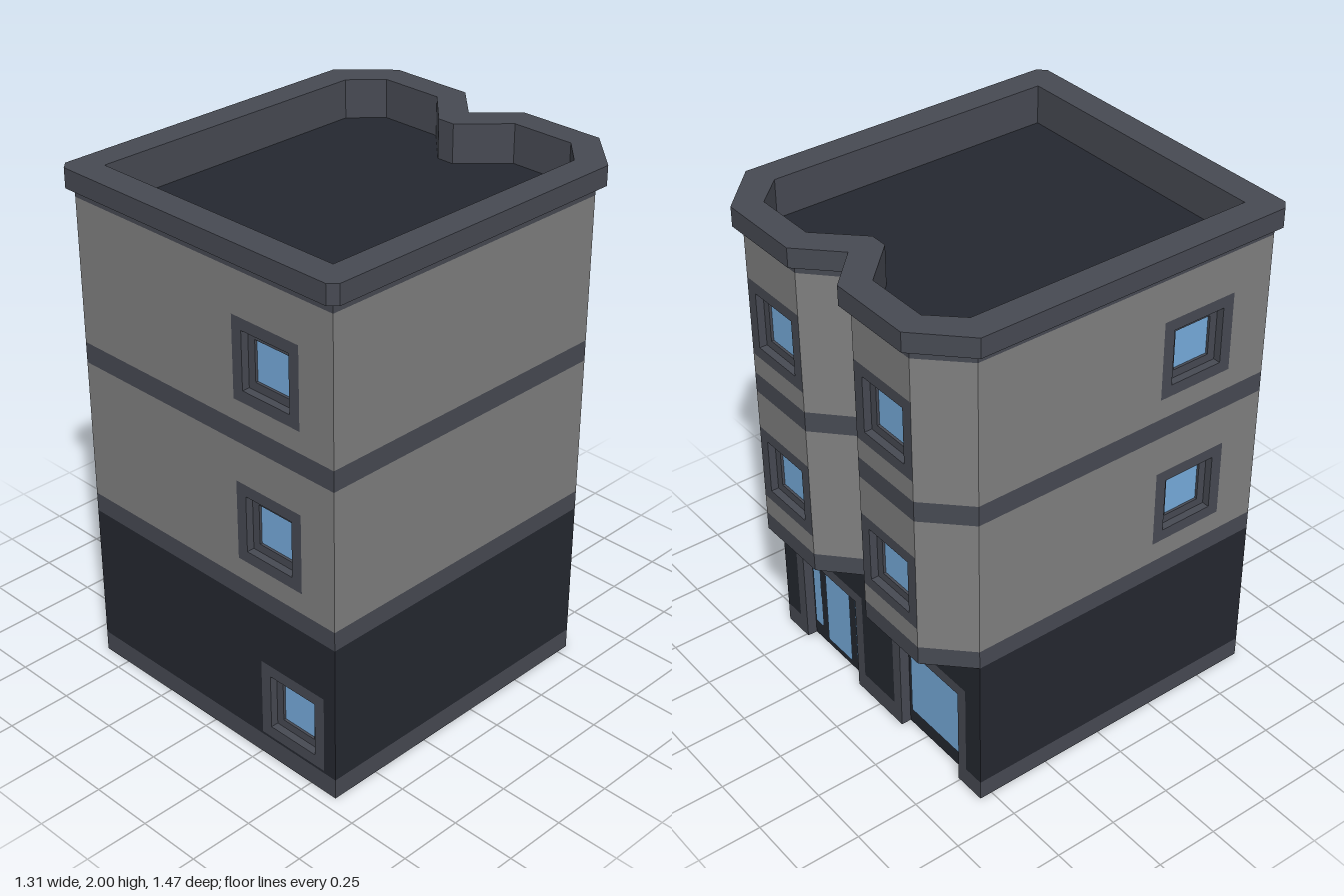
import * as THREE from 'three';
import { mergeGeometries } from 'three/addons/utils/BufferGeometryUtils.js';

const mat = (color) => new THREE.MeshStandardMaterial({ color });
const WALL = mat(0x808080), TRIM = mat(0x474a53), DARK = mat(0x252830), GLASS = mat(0x77acdd);

function mesh(name, geometry, material, parent) {
  const m = new THREE.Mesh(geometry, material);
  m.name = name;
  parent.add(m);
  return m;
}

const rect = (x0, y0, x1, y1, z = 0) =>
  new THREE.PlaneGeometry(x1 - x0, y1 - y0).translate((x0 + x1) / 2, (y0 + y1) / 2, z);

const toShape = (pts) => new THREE.Shape(pts.map(([x, y]) => new THREE.Vector2(x, y)));
const flipZ = (pts) => pts.map(([x, z]) => [x, -z]);

// Group whose x axis runs along a wall from p to q, with z pointing outward
function face(name, p, q, parent) {
  const g = new THREE.Group();
  g.name = name;
  g.position.set(p[0], 0, p[1]);
  g.rotation.y = Math.atan2(p[1] - q[1], q[0] - p[0]);
  g.userData.width = Math.hypot(q[0] - p[0], q[1] - p[1]);
  parent.add(g);
  return g;
}

// Flat strip of wall, pieced around its openings [x0, y0, x1, y1]
function strip(name, g, y0, y1, material, openings = []) {
  const parts = [];
  let x = 0;
  for (const [a, b, c, d] of openings) {
    if (d <= y0 || b >= y1) continue;
    if (a > x + 1e-4) parts.push(rect(x, y0, a, y1));
    if (b > y0) parts.push(rect(a, y0, c, b));
    if (d < y1) parts.push(rect(a, d, c, y1));
    x = c;
  }
  if (x < g.userData.width - 1e-4) parts.push(rect(x, y0, g.userData.width, y1));
  mesh(name, mergeGeometries(parts), material, g);
}

// Square frame ring whose front lies at z
function ring(name, outer, inner, depth, z, parent) {
  const square = (r) => [[-r, -r], [r, -r], [r, r], [-r, r]];
  const s = toShape(square(outer));
  s.holes.push(toShape(square(inner)));
  const geo = new THREE.ExtrudeGeometry(s, { depth, bevelEnabled: false });
  mesh(name, geo.translate(0, 0, z - depth), TRIM, parent);
}

const R = 0.155; // half size of a window frame
function addWindow(g, u, v) {
  const w = new THREE.Group();
  w.name = 'window';
  w.position.set(u, v, 0);
  ring('windowFrame', R, 0.11, 0.045, 0, w);
  ring('windowSash', 0.11, 0.078, 0.015, -0.03, w);
  mesh('windowGlass', rect(-0.078, -0.078, 0.078, 0.078, -0.04), GLASS, w);
  g.add(w);
}

const SW = 0.22, SH = 0.46, SD = 0.04; // shopfront half width, height, recess
function addShopfront(name, g, u, panes) {
  const s = new THREE.Group();
  s.name = name;
  s.position.x = u;
  const a = SW - 0.045, t = SH - 0.045;
  const arch = toShape([[-SW, 0], [-a, 0], [-a, t], [a, t], [a, 0], [SW, 0], [SW, SH], [-SW, SH]]);
  const geo = new THREE.ExtrudeGeometry(arch, { depth: SD, bevelEnabled: false });
  mesh('shopfrontFrame', geo.translate(0, 0, -SD), TRIM, s);
  mesh('shopfrontPanel', rect(-a, 0, a, t, -SD), DARK, s);
  for (const [x0, y0, x1, y1] of panes) mesh('shopfrontGlass', rect(x0, y0, x1, y1, 0.004 - SD), GLASS, s);
  g.add(s);
}

// Horizontal surface facing up or down
function cap(name, pts, y, up, material, parent) {
  const geo = new THREE.ShapeGeometry(toShape(up ? flipZ(pts) : pts));
  mesh(name, geo.rotateX(up ? -Math.PI / 2 : Math.PI / 2).translate(0, y, 0), material, parent);
}

// Mirror the points of the +x half into a closed outline, starting at front left
const mirrored = (half, middle = []) =>
  [...half, ...middle, ...half.slice().reverse().map(([x, z]) => [-x, z])];

export function createModel() {
  const model = new THREE.Group();
  model.name = 'cornerBuilding';

  const upper = mirrored([[0.62, 0.7], [0.62, -0.55], [0.47, -0.7], [0.16, -0.7]], [[0, -0.55]]);
  const lower = mirrored([[0.62, 0.7], [0.62, -0.55]]);
  const edges = (pts) => pts.map((p, i) => [p, pts[(i + 1) % pts.length]]);
  const UP = [0.94, 1.565];
  const hole = ([u, v]) => [u - R, v - R, u + R, v + R];

  // Upper storeys: front is edge 8, bay fronts are 2 and 5, the windowed side is 7
  const windowAt = { 2: 0.155, 5: 0.155, 7: 0.93, 8: 0.93 };
  edges(upper).forEach(([p, q], i) => {
    const g = face('upperWall', p, q, model);
    const wins = i in windowAt ? UP.map((v) => [windowAt[i], v]) : [];
    const holes = wins.map(hole);
    strip('lowerBand', g, 0.63, 0.705, TRIM);
    strip('wall', g, 0.705, 1.25, WALL, holes);
    strip('middleBand', g, 1.25, 1.33, TRIM);
    strip('wall', g, 1.33, 1.885, WALL, holes);
    strip('topBand', g, 1.885, 1.925, TRIM);
    wins.forEach(([u, v]) => addWindow(g, u, v));
  });

  // Ground floor: right side, back with shopfronts, left side, front with one window
  const shops = [0.305, 0.935];
  edges(lower).forEach(([p, q], i) => {
    const g = face('groundWall', p, q, model);
    let holes = [];
    if (i === 1) holes = shops.map((u) => [u - SW, 0, u + SW, SH]);
    if (i === 3) {
      holes = [hole([1.03, 0.245])];
      addWindow(g, 1.03, 0.245);
    }
    strip('baseBand', g, 0, 0.08, TRIM, holes);
    strip('groundWallSurface', g, 0.08, 0.63, DARK, holes);
    if (i === 1) {
      addShopfront('entrance', g, shops[0],
        [[-0.165, 0.07, -0.115, 0.385], [-0.08, 0.03, 0.08, 0.385], [0.115, 0.07, 0.165, 0.385]]);
      addShopfront('shopWindow', g, shops[1], [[-0.157, 0.07, 0.157, 0.38]]);
    }
  });

  // Underside, notched behind the shopfronts
  const notches = shops.map((u) => 0.62 - u).flatMap((x) =>
    [[x + SW, -0.55], [x + SW, -0.55 + SD], [x - SW, -0.55 + SD], [x - SW, -0.55]]);
  cap('underside', [[0.62, 0.7], [0.62, -0.55], ...notches, [-0.62, -0.55], [-0.62, 0.7]], 0, false, TRIM, model);

  // Bay undersides
  for (const s of [1, -1]) {
    cap('bayUnderside', [[0.62, -0.55], [0.47, -0.7], [0.16, -0.7], [0, -0.55]].map(([x, z]) => [s * x, z]),
      0.63, false, DARK, model);
  }

  // Cornice, parapet and sunken roof
  const rim = mirrored([[0.625, 0.735], [0.655, 0.705], [0.655, -0.565], [0.48, -0.735], [0.143, -0.735]],
    [[0, -0.595]]);
  const inner = mirrored([[0.545, 0.625], [0.545, -0.52], [0.44, -0.63], [0.187, -0.63], [0.035, -0.475]]);
  const cornice = toShape(flipZ(rim));
  cornice.holes.push(toShape(flipZ(inner)));
  const geo = new THREE.ExtrudeGeometry(cornice, { depth: 0.075, bevelEnabled: false });
  mesh('cornice', geo.rotateX(-Math.PI / 2).translate(0, 1.925, 0), TRIM, model);
  edges(inner).forEach(([p, q]) => strip('parapetInside', face('parapet', q, p, model), 1.85, 1.925, TRIM));
  cap('roof', inner, 1.85, true, DARK, model);

  return model;
}
